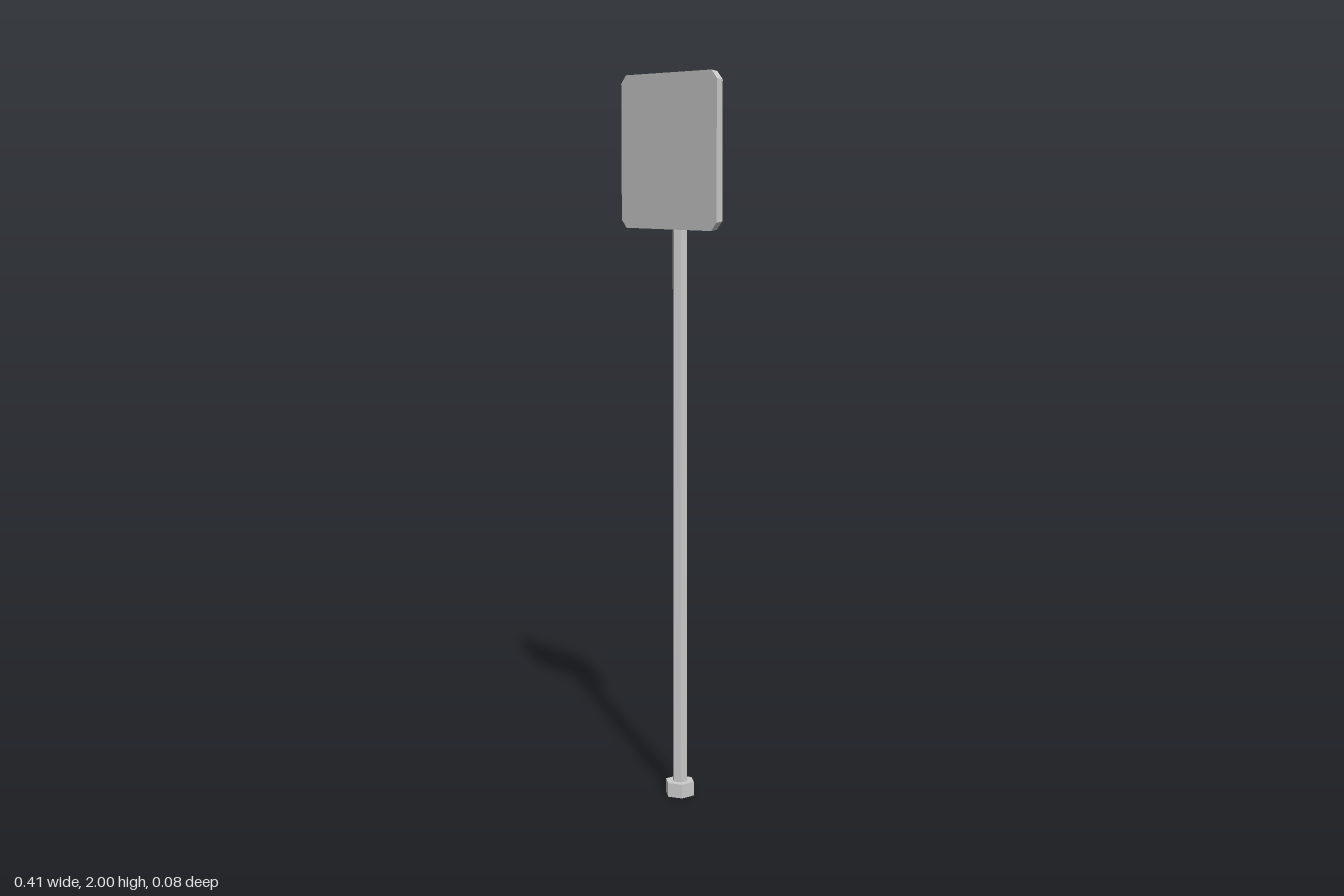
import * as THREE from 'three';

const material = (options = {}) => new THREE.MeshStandardMaterial({ color: 0xcccccc, ...options });
const flat = material({ flatShading: true });
const flatThin = material({ flatShading: true, side: THREE.DoubleSide });
const smoothThin = material({ side: THREE.DoubleSide });

function addMesh(parent, name, geometry, mat) {
  const mesh = new THREE.Mesh(geometry, mat);
  mesh.name = name;
  parent.add(mesh);
  return mesh;
}

// Open surface joining two rows of [x, y, z] points
function band(rowA, rowB) {
  const n = rowA.length;
  const index = [];
  for (let i = 0; i < n - 1; i++) {
    index.push(i, n + i, i + 1, n + i, n + i + 1, i + 1);
  }
  const geometry = new THREE.BufferGeometry();
  geometry.setAttribute('position', new THREE.Float32BufferAttribute([...rowA, ...rowB].flat(), 3));
  geometry.setIndex(index);
  geometry.computeVertexNormals();
  return geometry;
}

// Square outline with clipped corners, counter-clockwise from the front
function outline(half, clip) {
  const k = half - clip;
  return [[-k, -half], [k, -half], [half, -k], [half, k], [k, half], [-k, half], [-half, k], [-half, -k]];
}

export function createModel() {
  const model = new THREE.Group();
  model.name = 'signPost';

  // Hexagonal foot and pole, corners toward front and back
  addMesh(model, 'foot', new THREE.CylinderGeometry(0.042, 0.042, 0.04, 6), flat).position.y = 0.02;
  addMesh(model, 'pole', new THREE.CylinderGeometry(0.021, 0.021, 1.94, 6), flat).position.y = 0.97;

  // Sign panel: a shallow tray, open at the back
  const panel = new THREE.Group();
  panel.name = 'signPanel';
  panel.position.y = 1.793;
  model.add(panel);
  const front = outline(0.207, 0.022);
  const back = outline(0.204, 0.022);
  const face = new THREE.ShapeGeometry(new THREE.Shape(front.map(([x, y]) => new THREE.Vector2(x, y))));
  addMesh(panel, 'signFace', face, flatThin).position.z = 0.042;
  const ring = (points, z) => [...points, points[0]].map(([x, y]) => [x, y, z]);
  addMesh(panel, 'signRim', band(ring(front, 0.042), ring(back, 0.02)), flatThin);

  // Two straps wrapping the pole and lying flat against the panel
  const side = [[0.11, 0.04], [0.048, 0.039], [0.02, 0.013], [0.02, -0.012]];
  const path = [...side.map(([x, z]) => [-x, z]), [0, -0.024], ...side.slice().reverse()];
  const row = (y) => path.map(([x, z]) => [x, y, z]);
  for (const [name, y] of [['upperStrap', 1.877], ['lowerStrap', 1.702]]) {
    addMesh(model, name, band(row(-0.022), row(0.022)), smoothThin).position.y = y;
  }

  return model;
}
